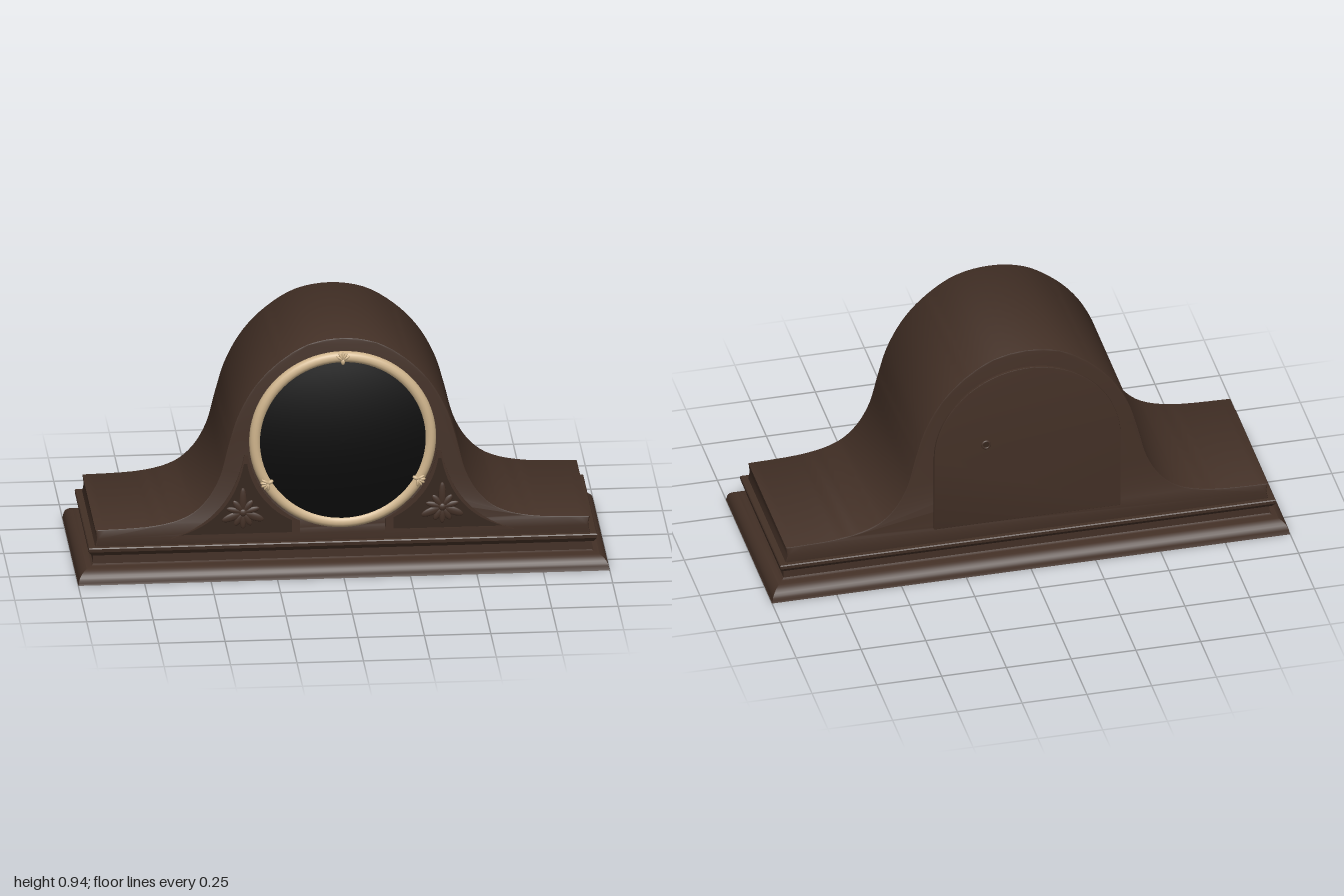
import * as THREE from 'three';
import { toCreasedNormals } from 'three/addons/utils/BufferGeometryUtils.js';

const material = (name, color) => {
  const m = new THREE.MeshStandardMaterial({ color });
  m.name = name;
  return m;
};
const V = (x, y) => new THREE.Vector2(x, y);
const DIAL_Y = 0.533;

// Rectangular moulding: rows of [half width, half depth, height], mitred at the corners
function mouldingGeometry(rows) {
  const corners = [[-1, 1], [1, 1], [1, -1], [-1, -1]];
  const at = ([hx, hz, y], c) => [corners[c % 4][0] * hx, y, corners[c % 4][1] * hz];
  const pos = [];
  const quad = (a, b, c, d) => pos.push(...a, ...b, ...c, ...a, ...c, ...d);
  for (let i = 0; i < rows.length - 1; i++) {
    for (let c = 0; c < 4; c++) {
      quad(at(rows[i], c), at(rows[i], c + 1), at(rows[i + 1], c + 1), at(rows[i + 1], c));
    }
  }
  const first = rows[0], last = rows[rows.length - 1];
  quad(at(first, 3), at(first, 2), at(first, 1), at(first, 0));
  quad(at(last, 0), at(last, 1), at(last, 2), at(last, 3));
  const g = new THREE.BufferGeometry();
  g.setAttribute('position', new THREE.Float32BufferAttribute(pos, 3));
  return toCreasedNormals(g, 0.5);
}

// Extrusion with a small bevel that stays inside the outline, from z0 to z1
function slab(shape, z0, z1, bevel, curveSegments = 12) {
  const g = new THREE.ExtrudeGeometry(shape, {
    depth: z1 - z0 - 2 * bevel, bevelEnabled: bevel > 0, bevelThickness: bevel,
    bevelSize: bevel, bevelOffset: -bevel, bevelSegments: 2, curveSegments,
  });
  g.translate(0, 0, z0 + bevel);
  return toCreasedNormals(g, 0.5);
}

// Concave triangle between the dial ring and the shoulder, on side s
function spandrelPoints(s, scale) {
  const pts = [V(0.16, 0.155), V(0.645, 0.155)];
  const outer = new THREE.QuadraticBezierCurve(V(0.645, 0.155), V(0.42, 0.22), V(0.37, 0.48));
  pts.push(...outer.getPoints(14).slice(1));
  for (let i = 0; i <= 14; i++) {
    const a = -0.15 - (i / 14) * 0.96;
    pts.push(V(0.36 * Math.cos(a), DIAL_Y + 0.36 * Math.sin(a)));
  }
  return pts.map(p => V(s * (0.38 + (p.x - 0.38) * scale), 0.245 + (p.y - 0.245) * scale));
}

export function createModel() {
  const wood = material('dark wood', 0x433026);
  const carved = material('shadowed wood', 0x35261d);
  const brass = material('pale brass', 0xcfb48c);
  const black = material('black glass', 0x0a0a0a);

  const model = new THREE.Group();
  model.name = 'mantelClock';
  const add = (name, geometry, mat, parent = model) => {
    const mesh = new THREE.Mesh(geometry, mat);
    mesh.name = name;
    parent.add(mesh);
    return mesh;
  };

  // Flared foot, neck and waist moulding
  const rows = [[1, 0.367, 0], [0.997, 0.364, 0.008]];
  for (let i = 1; i <= 8; i++) {
    const a = (i / 8) * Math.PI / 2;
    rows.push([0.945 + 0.052 * Math.cos(a), 0.302 + 0.062 * Math.cos(a), 0.008 + 0.047 * Math.sin(a)]);
  }
  rows.push([0.938, 0.294, 0.06], [0.938, 0.294, 0.095], [0.945, 0.304, 0.096],
    [0.956, 0.317, 0.113], [0.957, 0.319, 0.126], [0.954, 0.316, 0.13]);
  add('base', mouldingGeometry(rows), wood);

  // Humped case
  const half = [V(0.93, 0.196), V(0.73, 0.204), V(0.6, 0.234), V(0.52, 0.295), V(0.465, 0.39),
    V(0.43, 0.52), V(0.395, 0.635), V(0.335, 0.747), V(0.25, 0.84), V(0.135, 0.914)];
  const outline = new THREE.Shape();
  outline.moveTo(-0.933, 0.12);
  outline.lineTo(0.933, 0.12);
  outline.lineTo(0.925, 0.16);
  outline.lineTo(0.93, 0.196);
  outline.splineThru([...half.slice(1), V(0, 0.938),
    ...half.slice().reverse().map(p => V(-p.x, p.y))]);
  outline.lineTo(-0.925, 0.16);
  add('case', slab(outline, -0.3, 0.3, 0.005, 4), wood);

  // Arched back door with its small pull
  const door = new THREE.Shape();
  door.moveTo(-0.36, 0.195);
  door.lineTo(0.36, 0.195);
  door.lineTo(0.36, 0.505);
  door.absarc(0, 0.505, 0.36, 0, Math.PI, false);
  add('backDoor', slab(door, -0.31, -0.298, 0.002, 32), wood);
  const pull = add('doorPull', new THREE.TorusGeometry(0.015, 0.005, 8, 20), wood);
  pull.position.set(0.16, 0.545, -0.309);
  const keyhole = add('doorPullCentre', new THREE.CylinderGeometry(0.012, 0.012, 0.003, 16), carved);
  keyhole.rotation.x = Math.PI / 2;
  keyhole.position.set(0.16, 0.545, -0.31);

  // Domed glass and ring
  const dome = [];
  for (let i = 0; i <= 12; i++) {
    const t = 1 - i / 12;
    dome.push(V(0.315 * t, 0.341 - 0.03 * t * t));
  }
  const glass = add('dialGlass', new THREE.LatheGeometry(dome, 64), black);
  glass.rotation.x = Math.PI / 2;
  glass.position.y = DIAL_Y;
  const ring = add('bezel', new THREE.TorusGeometry(0.33, 0.022, 14, 80), brass);
  ring.position.set(0, DIAL_Y, 0.3);

  // Three leaf clasps on the ring
  const bead = new THREE.SphereGeometry(1, 12, 8);
  for (const angle of [90, 210, 330]) {
    const a = THREE.MathUtils.degToRad(angle);
    const clasp = new THREE.Group();
    clasp.name = 'bezelClasp';
    clasp.position.set(0.33 * Math.cos(a), DIAL_Y + 0.33 * Math.sin(a), 0.318);
    clasp.rotation.z = a - Math.PI / 2;
    for (let i = -2; i <= 2; i++) {
      const lobe = add('claspLeaf', bead, brass, clasp);
      lobe.scale.set(0.006, 0.016, 0.009);
      lobe.rotation.z = -i * 0.5;
      lobe.position.set(0.013 * Math.sin(i * 0.6), 0.013 * Math.cos(i * 0.6) - 0.004, 0);
    }
    const tip = add('claspTip', bead, brass, clasp);
    tip.scale.set(0.008, 0.013, 0.009);
    tip.position.y = -0.014;
    model.add(clasp);
  }

  // Carved spandrels: frame, sunk field and leaf spray; each leaf is [angle, length, width]
  const leaves = [[0, 0.1, 0.014], [0.65, 0.06, 0.013], [-0.65, 0.06, 0.013], [1.3, 0.065, 0.012],
    [-1.3, 0.065, 0.012], [1.95, 0.085, 0.016], [-1.95, 0.085, 0.016], [2.6, 0.06, 0.013],
    [-2.6, 0.06, 0.013], [Math.PI, 0.065, 0.012]];
  for (const s of [1, -1]) {
    const spandrel = new THREE.Group();
    spandrel.name = s > 0 ? 'leftSpandrel' : 'rightSpandrel';
    const frame = new THREE.Shape(spandrelPoints(s, 1));
    frame.holes.push(new THREE.Path(spandrelPoints(s, 0.86)));
    add('spandrelFrame', slab(frame, 0.298, 0.306, 0), wood, spandrel);
    add('spandrelField', slab(new THREE.Shape(spandrelPoints(s, 0.88)), 0.298, 0.3015, 0), carved, spandrel);
    for (const [angle, length, width] of leaves) {
      const leaf = add('leaf', bead, wood, spandrel);
      leaf.scale.set(width, length / 2, 0.006);
      leaf.rotation.z = -s * angle;
      leaf.position.set(s * (0.375 + Math.sin(angle) * length / 2), 0.25 + Math.cos(angle) * length / 2, 0.302);
    }
    const boss = add('leafBoss', bead, wood, spandrel);
    boss.scale.set(0.016, 0.016, 0.009);
    boss.position.set(s * 0.375, 0.25, 0.302);
    model.add(spandrel);
  }
  return model;
}
